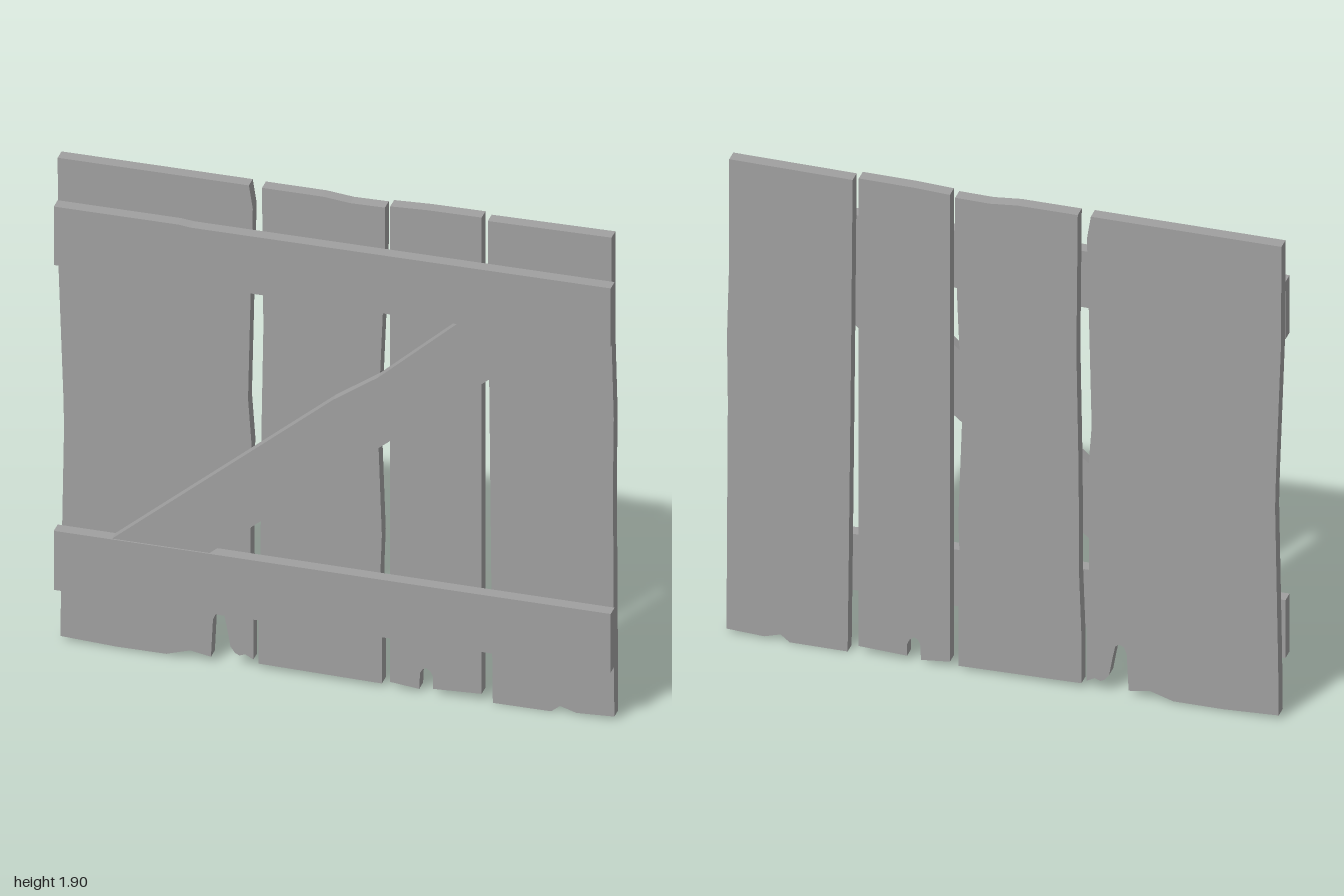
import * as THREE from 'three';

const wood = new THREE.MeshStandardMaterial({ color: 0xa0a0a0 });
wood.name = 'greyWood';

// Extrudes a front outline of [x, y] corners between two depths
function plank(name, outline, back, front) {
  const shape = new THREE.Shape(outline.map(([x, y]) => new THREE.Vector2(x, y)));
  const geometry = new THREE.ExtrudeGeometry(shape, { depth: front - back, bevelEnabled: false });
  geometry.translate(0, 0, back);
  const mesh = new THREE.Mesh(geometry, wood);
  mesh.name = name;
  return mesh;
}

// Upright boards, each a worn outline running counter-clockwise from its bottom left
const boards = {
  wideBoard: [
    [-0.99, 0.02], [-0.79, 0.01], [-0.61, 0.01], [-0.525, 0.037], [-0.45, 0.024],
    // tall rotted notch
    [-0.443, 0.17], [-0.433, 0.195], [-0.417, 0.203], [-0.402, 0.193], [-0.393, 0.15],
    [-0.38, 0.075], [-0.364, 0.053], [-0.348, 0.045], [-0.327, 0.053], [-0.298, 0.037],
    [-0.298, 0.22], [-0.308, 0.455], [-0.305, 0.89], [-0.317, 1.06], [-0.308, 1.46],
    [-0.3, 1.81], [-0.314, 1.9],
    [-1, 1.9], [-0.998, 1.5], [-0.98, 0.98], [-0.977, 0.85], [-0.988, 0.22],
  ],
  middleBoard: [
    [-0.28, 0.024], [0.163, 0.016], [0.163, 0.22], [0.158, 0.455], [0.163, 0.6],
    [0.15, 0.98], [0.155, 1.19], [0.166, 1.46], [0.174, 1.73], [0.174, 1.89],
    [0.05, 1.888], [-0.05, 1.898], [-0.267, 1.898], [-0.262, 1.35], [-0.27, 0.88],
    [-0.272, 0.455], [-0.28, 0.22],
  ],
  narrowBoard: [
    [0.193, 0.027], [0.297, 0.016],
    // small rotted notch
    [0.3, 0.08], [0.31, 0.096], [0.322, 0.102], [0.338, 0.09], [0.347, 0.07], [0.347, 0.024],
    [0.521, 0.032], [0.521, 1.906], [0.326, 1.904], [0.193, 1.898],
  ],
  rightBoard: [
    [0.561, 0.003], [0.77, 0.003], [0.802, 0.029], [0.861, 0.011], [0.997, 0.018],
    [0.992, 0.925], [0.995, 1.19], [0.987, 1.5], [0.987, 1.901], [0.543, 1.896],
    [0.548, 1.27], [0.556, 0.455],
  ],
};

// Cross rails and the diagonal brace between them
const rails = {
  topRail: [
    [-1, 1.503], [-0.07, 1.503], [-0.016, 1.5], [0.998, 1.5],
    [0.998, 1.728], [-0.51, 1.728], [-0.555, 1.733], [-1, 1.733],
  ],
  bottomRail: [
    [-1, 0.225], [-0.36, 0.22], [-0.04, 0.225], [0.49, 0.225], [0.998, 0.217],
    [0.998, 0.447], [0.49, 0.449], [-0.44, 0.455], [-1, 0.457],
  ],
};
const brace = [
  [-0.793, 0.456], [-0.444, 0.454], [0.802, 1.5], [0.45, 1.502], [0.16, 1.24], [0, 1.128],
];

export function createModel() {
  const group = new THREE.Group();
  group.name = 'plankDoor';
  for (const [name, outline] of Object.entries(boards)) group.add(plank(name, outline, -0.047, 0));
  for (const [name, outline] of Object.entries(rails)) group.add(plank(name, outline, 0, 0.047));
  group.add(plank('diagonalBrace', brace, 0, 0.041));
  return group;
}
